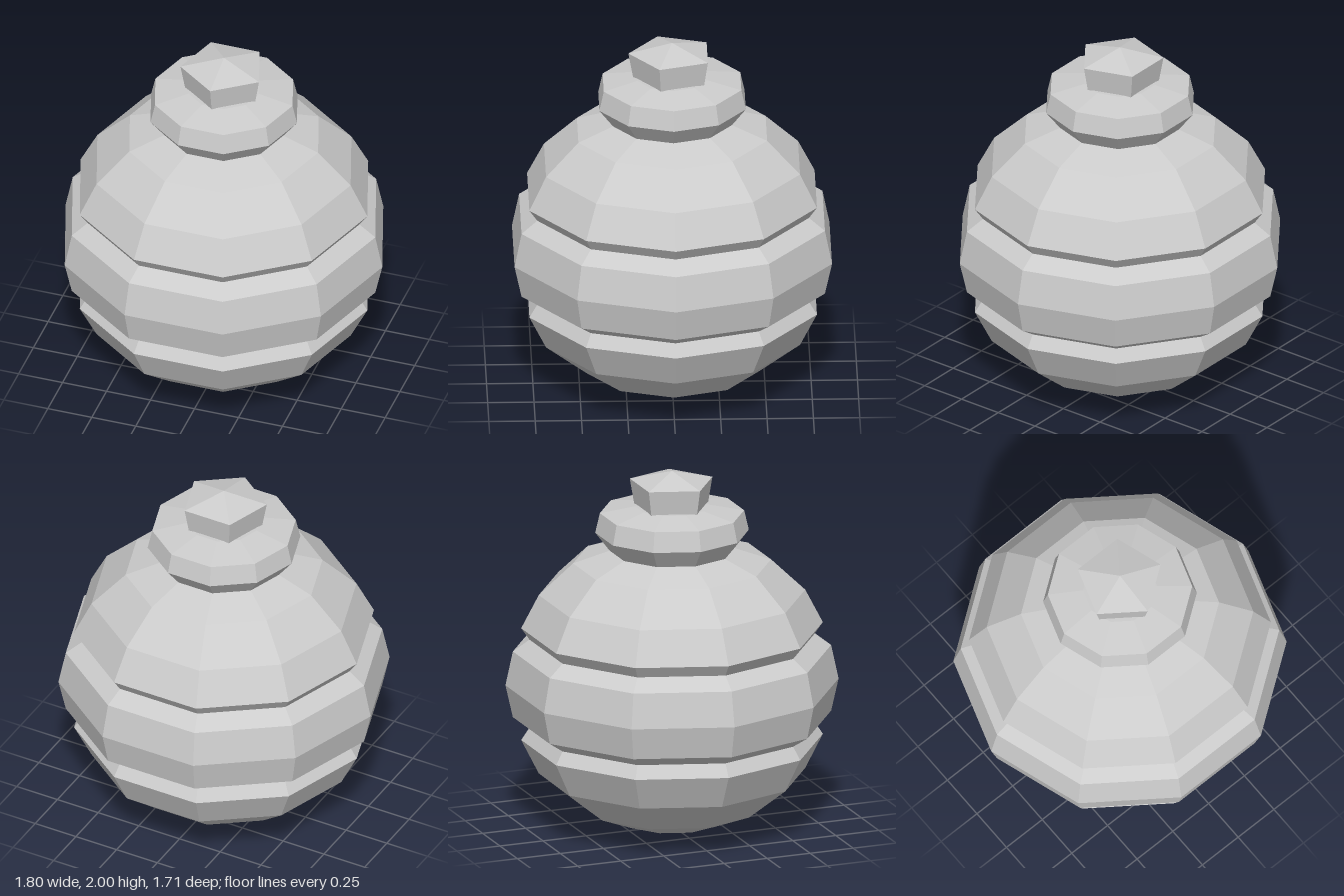
import * as THREE from 'three';

const material = new THREE.MeshStandardMaterial({ color: 0xcccccc, flatShading: true });

// Faceted solid of revolution from [radius, height] pairs, listed bottom to top
function turned(name, sides, phiStart, profile) {
  const points = profile.map(([r, y]) => new THREE.Vector2(r, y));
  const mesh = new THREE.Mesh(new THREE.LatheGeometry(points, sides, phiStart), material);
  mesh.name = name;
  return mesh;
}

export function createModel() {
  const group = new THREE.Group();
  group.name = 'ornament';
  const side = Math.PI / 2; // ten-sided parts have a corner on +x

  group.add(
    // Rounded bottom up to the lower groove
    turned('lowerBowl', 10, side, [
      [0, 0], [0.28, 0.04], [0.49, 0.125], [0.72, 0.31], [0.815, 0.5], [0.77, 0.57],
    ]),
    // Raised belt between the two grooves
    turned('middleBand', 10, side, [
      [0.77, 0.57], [0.86, 0.63], [0.9, 0.81], [0.86, 1.0], [0.77, 1.065],
    ]),
    // Dome above the upper groove
    turned('upperDome', 10, side, [
      [0.77, 1.065], [0.815, 1.13], [0.72, 1.315], [0.535, 1.49], [0.33, 1.56], [0, 1.6],
    ]),
    // Bevelled cap ring
    turned('collar', 10, side, [
      [0.335, 1.555], [0.415, 1.66], [0.39, 1.77], [0.2, 1.805], [0, 1.81],
    ]),
    // Five-sided knob with a corner on +z
    turned('topKnob', 5, 0, [
      [0, 1.8], [0.21, 1.8], [0.235, 1.94], [0, 2],
    ]),
  );
  return group;
}
